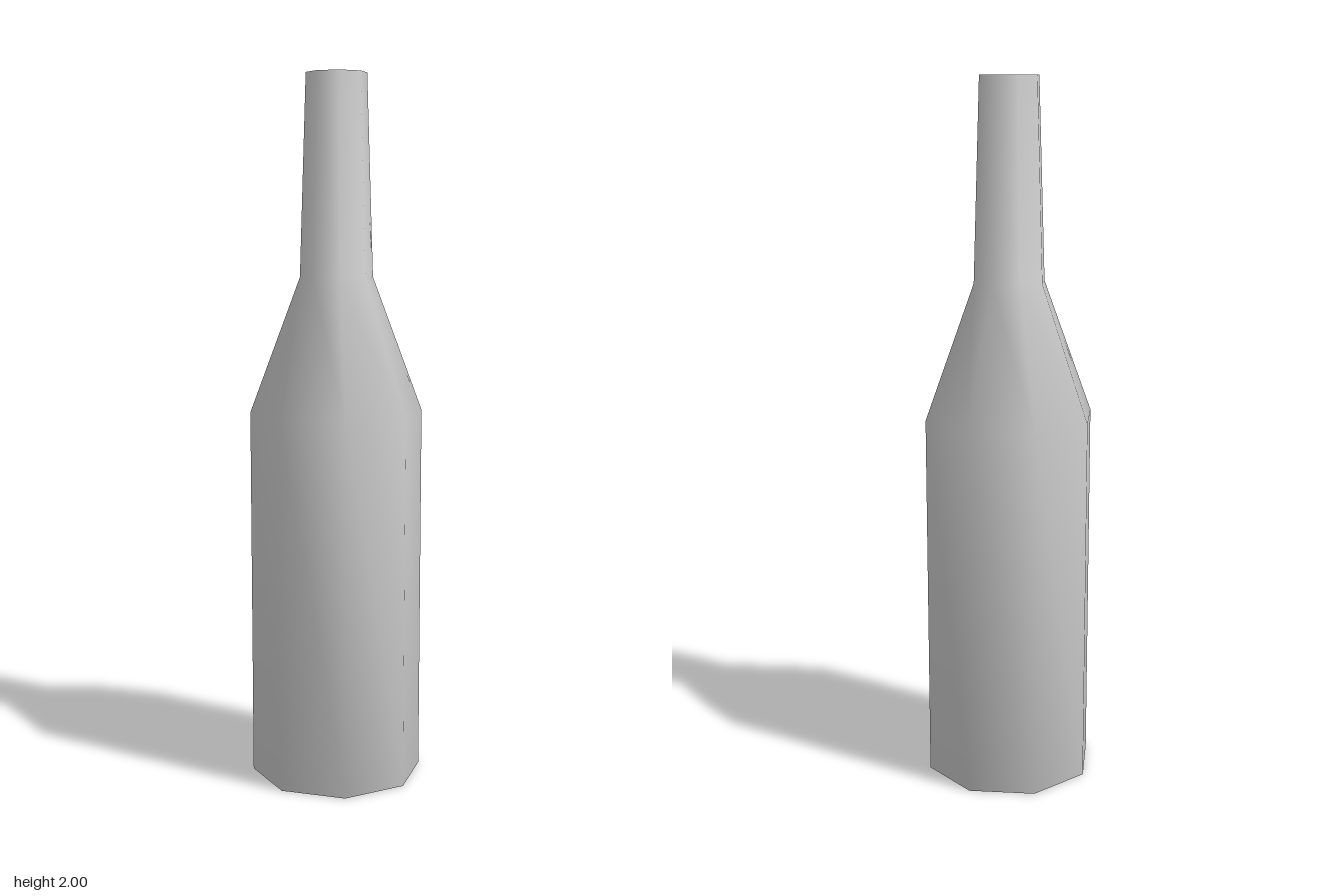
import * as THREE from 'three';
import { mergeVertices } from 'three/addons/utils/BufferGeometryUtils.js';

export function createModel() {
  const group = new THREE.Group();
  group.name = 'bottle';
  const glass = new THREE.MeshStandardMaterial({ color: 0xcccccc });
  glass.name = 'plain grey';

  // Radius and height: base, straight body, sloping shoulder, tapering neck, flat top
  const profile = [
    [0, 0], [0.245, 0], [0.245, 1.06], [0.103, 1.44], [0.085, 2], [0, 2],
  ].map(([r, y]) => new THREE.Vector2(r, y));

  // Eight-sided lathe, welded so the shading runs smoothly over every edge
  let geometry = new THREE.LatheGeometry(profile, 8);
  geometry.deleteAttribute('normal');
  geometry.deleteAttribute('uv');
  geometry = mergeVertices(geometry);
  geometry.computeVertexNormals();

  const body = new THREE.Mesh(geometry, glass);
  body.name = 'bottleBody';
  group.add(body);
  return group;
}
